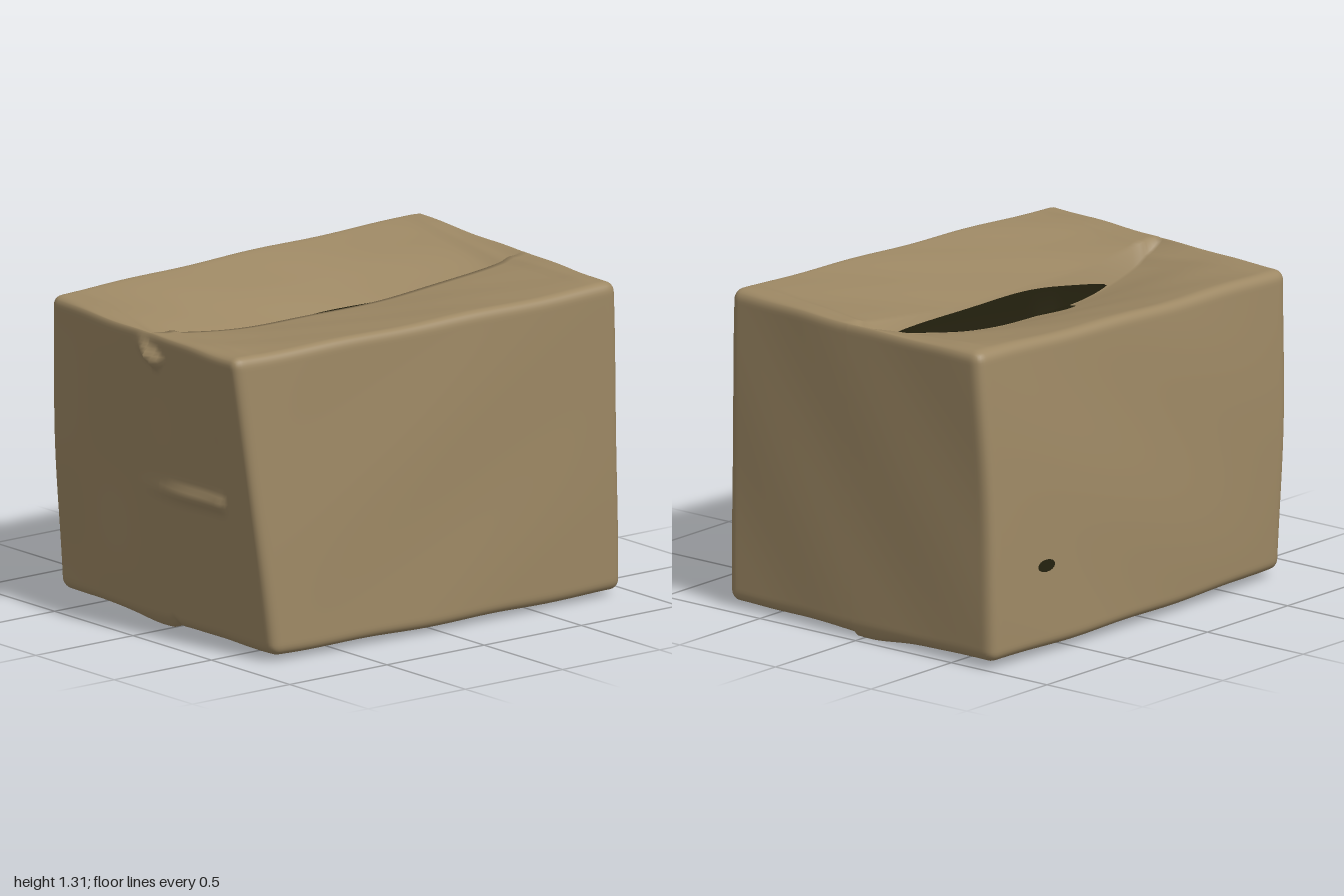
import * as THREE from 'three';
import { mergeVertices } from 'three/addons/utils/BufferGeometryUtils.js';

const HALF = [0.7, 0.63, 0.92];   // nominal half sizes used for edge rounding
const RADIUS = 0.045;
const SEG = 72;
const SEAM = 0.012;               // width of the step between the two flaps

// Slightly skewed corners: [bottom, top] -> [back, front] -> [left-hand, right-hand]
const CORNERS = [
  [[[-0.705, 0.03, -0.985], [0.72, 0.022, -0.935]], [[-0.7, 0.035, 0.82], [0.705, 0.03, 0.845]]],
  [[[-0.635, 1.315, -0.99], [0.745, 1.31, -0.89]], [[-0.675, 1.265, 0.89], [0.635, 1.27, 0.995]]],
];

const mix = (a, b, t) => a + (b - a) * t;
const smooth = (a, b, x) => THREE.MathUtils.smoothstep(x, a, b);
const bell = (d, w) => Math.exp(-(d * d) / (w * w));

// Tapered raised fold running from (x0,y0) to (x1,y1), swelling towards its end
function fold(x, y, x0, y0, x1, y1, width) {
  const dx = x1 - x0, dy = y1 - y0, len = Math.hypot(dx, dy);
  const t = ((x - x0) * dx + (y - y0) * dy) / (len * len);
  const d = ((x - x0) * dy - (y - y0) * dx) / len;
  return smooth(0, 0.7, t) * (1 - smooth(0.94, 1.03, t)) * bell(d, width);
}

// Maps a point on the unit cube surface to the dented carton skin
function skin(cx, cy, cz) {
  // round the edges
  const p = new THREE.Vector3(cx * HALF[0], cy * HALF[1], cz * HALF[2]);
  const inner = new THREE.Vector3(...['x', 'y', 'z'].map((k, i) =>
    THREE.MathUtils.clamp(p[k], RADIUS - HALF[i], HALF[i] - RADIUS)));
  p.sub(inner).setLength(RADIUS).add(inner);
  const x = p.x / HALF[0], y = p.y / HALF[1], z = p.z / HALF[2];

  // skewed box
  const u = (x + 1) / 2, v = (y + 1) / 2, w = (z + 1) / 2;
  const out = [0, 1, 2].map((k) => {
    const at = (r, c) => mix(CORNERS[r][c][0][k], CORNERS[r][c][1][k], u);
    return mix(mix(at(0, 0), at(0, 1), w), mix(at(1, 0), at(1, 1), w), v);
  });

  // bulging walls, off-centre seam and soft waviness
  const ix = 1 - x * x, iy = 1 - y * y, iz = 1 - z * z;
  out[0] += x * iy * (x < 0 ? 0.015 : 0.006) + x * iz * (x < 0 ? 0.036 - 0.02 * v : 0.018);
  out[0] += ix * (0.042 + 0.012 * z);
  out[2] += z * ix * 0.01;
  out[0] += 0.003 * Math.sin(5 * y + 4 * z) * iz;
  out[2] += 0.004 * Math.sin(6 * x + 1) * Math.cos(4 * y);
  out[1] += 0.003 * Math.sin(9 * z + 4 * x) * Math.cos(7 * x);

  // sagging top flaps, the left-hand one much lower
  const top = smooth(0.97, 1, y), low = x < SEAM * 0.5;
  const sag = Math.pow(Math.max(iz, 0), 0.7) * Math.pow(1 - Math.abs(x), 1.15);
  const step = low ? 0.012 * smooth(-0.6, 0, x) * smooth(0, 0.2, 1 - Math.abs(z)) : 0;
  out[1] -= top * (sag * (low ? 0.19 + 0.04 * z : 0.088) + step);
  // creases where the under flaps end
  out[1] += top * 0.008 * (bell(z + 0.9, 0.025) + bell(z - 0.88, 0.025)) * smooth(0, 0.3, 1 - Math.abs(x));

  // bottom flaps with a stepped seam and crumpled ends
  if (low) out[1] -= smooth(0.97, 1, -y) * 0.012 * smooth(-0.5, 0, x);
  out[1] += smooth(0.85, 1, -y) * 0.018 * bell(x - 0.01, 0.025) * smooth(0.9, 1, z);
  out[1] -= smooth(0.9, 1, -y) * 0.014 * bell(Math.abs(z) - 0.97, 0.05) * bell(x + 0.15, 0.2);

  // folds on the front wall
  const front = smooth(0.96, 1, z);
  out[2] += front * 0.027 * fold(out[0], out[1], -0.14, 0.6, 0.48, 0.622, 0.028);
  out[2] += front * 0.045 * fold(out[0], out[1], -0.07, 1.23, 0.1, 1.135, 0.028);
  return out;
}

// Grid patch from a rule f(u, v) with u and v from 0 to 1
function patch(nu, nv, f) {
  const pos = [], idx = [];
  for (let j = 0; j <= nv; j++) for (let i = 0; i <= nu; i++) {
    pos.push(...f(i / nu, j / nv));
    if (i < nu && j < nv) {
      const a = j * (nu + 1) + i, b = a + nu + 1;
      idx.push(a, b, a + 1, b, b + 1, a + 1);
    }
  }
  const g = new THREE.BufferGeometry();
  g.setAttribute('position', new THREE.Float32BufferAttribute(pos, 3));
  g.setIndex(idx);
  g.computeVertexNormals();
  return g;
}

export function createModel() {
  const cardboard = new THREE.MeshStandardMaterial({ color: 0x9d8864 });
  cardboard.name = 'cardboard brown';
  const dark = new THREE.MeshStandardMaterial({ color: 0x24210f, side: THREE.DoubleSide });
  dark.name = 'dark interior';

  const group = new THREE.Group();
  group.name = 'cardboardBox';
  const add = (name, geometry, material) => {
    const mesh = new THREE.Mesh(geometry, material);
    mesh.name = name;
    group.add(mesh);
  };

  // carton: a fine cube, denser near its edges and with a narrow seam column, pushed onto the skin
  let carton = new THREE.BoxGeometry(2, 2, 2, SEG, SEG, SEG);
  carton.deleteAttribute('uv');
  carton.deleteAttribute('normal');
  carton = mergeVertices(carton, 1e-4);
  const pos = carton.attributes.position;
  const dense = (t) => 0.6 * t + 0.4 * Math.sin(t * Math.PI / 2);
  const seamed = (t) => (t > 0.01 && t < 0.03 ? SEAM : dense(t));
  for (let i = 0; i < pos.count; i++) {
    pos.setXYZ(i, ...skin(seamed(pos.getX(i)), dense(pos.getY(i)), dense(pos.getZ(i))));
  }
  carton.computeVertexNormals();
  add('carton', carton, cardboard);

  // open gap between the top flaps, with a torn notch
  add('topGap', patch(8, 70, (u, v) => {
    const z = mix(-0.69, 0.65, v);
    const taper = Math.pow(Math.sin(Math.PI * v), 0.6);
    if (u < 1) {
      const left = 0.052 * taper + 0.14 * Math.exp(-Math.pow((z - 0.27) / 0.085, 4));
      const [x, y, zz] = skin(Math.min(-left * (1 - u / 0.875), 0), 1, z);
      return [x, y + 0.005, zz];
    }
    const a = skin(0, 1, z), b = skin(SEAM, 1, z);
    return [mix(a[0], b[0], taper) - 0.004, mix(a[1], b[1], taper) + 0.003, a[2]];
  }), dark);

  // small puncture in the side wall
  add('sideHole', patch(16, 1, (u, v) => {
    const a = u * Math.PI * 2;
    const [x, y, z] = skin(-1, -0.46 + 0.04 * v * Math.sin(a), -0.65 + 0.055 * v * Math.cos(a));
    return [x - 0.005, y, z];
  }), dark);

  return group;
}
